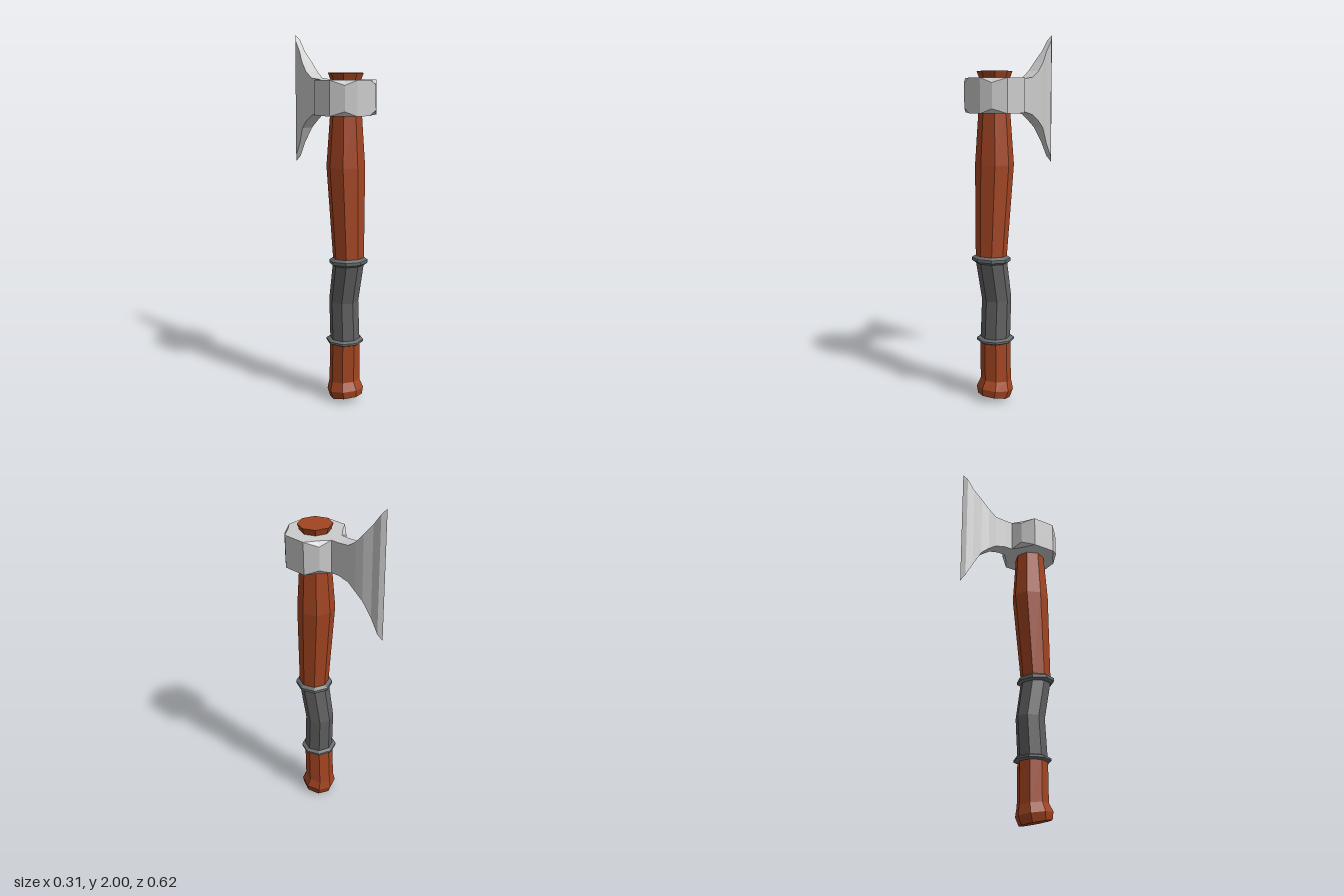
import * as THREE from 'three';

const wood = new THREE.MeshStandardMaterial({ color: 0xa34522, flatShading: true });
const leather = new THREE.MeshStandardMaterial({ color: 0x606060, flatShading: true });
const band = new THREE.MeshStandardMaterial({ color: 0x666a6c, flatShading: true });
const steel = new THREE.MeshStandardMaterial({ color: 0xcccccc, flatShading: true });

// Skin a list of rings (arrays of Vector3, counter-clockwise about the sweep direction) and cap both ends.
function loft(rings) {
  const positions = [];
  const tri = (a, b, c) => {
    const area = b.clone().sub(a).cross(c.clone().sub(a)).length();
    if (area > 1e-7) for (const p of [a, b, c]) positions.push(p.x, p.y, p.z);
  };
  const n = rings[0].length;
  for (let i = 0; i < rings.length - 1; i++) {
    for (let j = 0; j < n; j++) {
      const k = (j + 1) % n;
      tri(rings[i][j], rings[i][k], rings[i + 1][k]);
      tri(rings[i][j], rings[i + 1][k], rings[i + 1][j]);
    }
  }
  const cap = (ring, flip) => {
    const mid = ring.reduce((s, p) => s.add(p), new THREE.Vector3()).divideScalar(n);
    ring.forEach((p, j) => {
      const q = ring[(j + 1) % n];
      if (flip) tri(mid, q, p);
      else tri(mid, p, q);
    });
  };
  cap(rings[0], true);
  cap(rings[rings.length - 1], false);
  const geometry = new THREE.BufferGeometry();
  geometry.setAttribute('position', new THREE.Float32BufferAttribute(positions, 3));
  geometry.computeVertexNormals();
  return geometry;
}

// Octagonal ring: height, centre z, radius, tilt (rise per unit z).
function octagon([y, z, r, tilt = 0]) {
  return Array.from({ length: 8 }, (_, i) => {
    const a = (i * Math.PI) / 4;
    const dz = -Math.sin(a) * r;
    return new THREE.Vector3(Math.cos(a) * r, y + dz * tilt, z + dz);
  });
}

function part(name, geometry, material) {
  const mesh = new THREE.Mesh(geometry, material);
  mesh.name = name;
  return mesh;
}

const stave = (name, sections, material) => part(name, loft(sections.map(octagon)), material);

// Collar: four rings whose diagonal corners are nipped in at top and bottom.
function collarGeometry() {
  const zc = 0.158;
  const quarter = [[0.153, 0.065], [0.1, 0.124, 0.088, 0.108], [0.04, 0.149]];
  const ring = (y, cornerY, inset) => {
    const pts = [];
    for (const [sx, sz] of [[1, -1], [-1, -1], [-1, 1], [1, 1]]) {
      const list = sx * sz < 0 ? quarter : [...quarter].reverse();
      for (const [x, z, ix, iz] of list) {
        const corner = ix !== undefined;
        const px = corner && inset ? ix : x;
        const pz = corner && inset ? iz : z;
        pts.push(new THREE.Vector3(sx * px, corner ? cornerY : y, zc + sz * pz));
      }
    }
    return pts;
  };
  return loft([
    ring(1.58, 1.58, true), ring(1.58, 1.605, false),
    ring(1.76, 1.735, false), ring(1.76, 1.76, true),
  ]);
}

// Blade: rectangular sections swept backwards to a sharp edge [z, half width, bottom, top].
function bladeGeometry() {
  const sections = [
    [0.03, 0.039, 1.58, 1.76], [-0.04, 0.038, 1.58, 1.76], [-0.1, 0.036, 1.565, 1.765],
    [-0.15, 0.038, 1.53, 1.8], [-0.195, 0.033, 1.49, 1.85], [-0.242, 0.018, 1.405, 1.91],
    [-0.285, 0.016, 1.325, 1.97], [-0.308, 0, 1.29, 2.0],
  ];
  return loft(sections.map(([z, w, b, t]) =>
    [[-w, b], [-w, t], [w, t], [w, b]].map(([x, y]) => new THREE.Vector3(x, y, z))));
}

export function createModel() {
  const group = new THREE.Group();
  group.name = 'axe';

  // Handle, bottom to top
  group.add(stave('pommel', [
    [0.022, 0.174, 0.088, 0.22], [0.065, 0.166, 0.1, 0.15], [0.115, 0.158, 0.084, 0.1], [0.345, 0.161, 0.082],
  ], wood));
  group.add(stave('grip', [
    [0.345, 0.161, 0.081], [0.575, 0.149, 0.08, -0.06], [0.8, 0.19, 0.084],
  ], leather));
  group.add(stave('shaft', [
    [0.8, 0.19, 0.083], [1.31, 0.161, 0.103], [1.58, 0.161, 0.084],
    [1.755, 0.158, 0.079], [1.795, 0.158, 0.093],
  ], wood));

  // Bands at each end of the grip
  for (const [name, y, z, r, h, tilt] of [
    ['lowerBand', 0.348, 0.16, 0.102, 0.014, 0], ['upperBand', 0.801, 0.189, 0.104, 0.02, 0.05],
  ]) {
    group.add(stave(name, [
      [y - h, z, r - 0.018, tilt], [y - h * 0.4, z, r, tilt],
      [y + h * 0.4, z, r, tilt], [y + h, z, r - 0.018, tilt],
    ], band));
  }

  // Head
  group.add(part('collar', collarGeometry(), steel));
  group.add(part('blade', bladeGeometry(), steel));
  return group;
}
